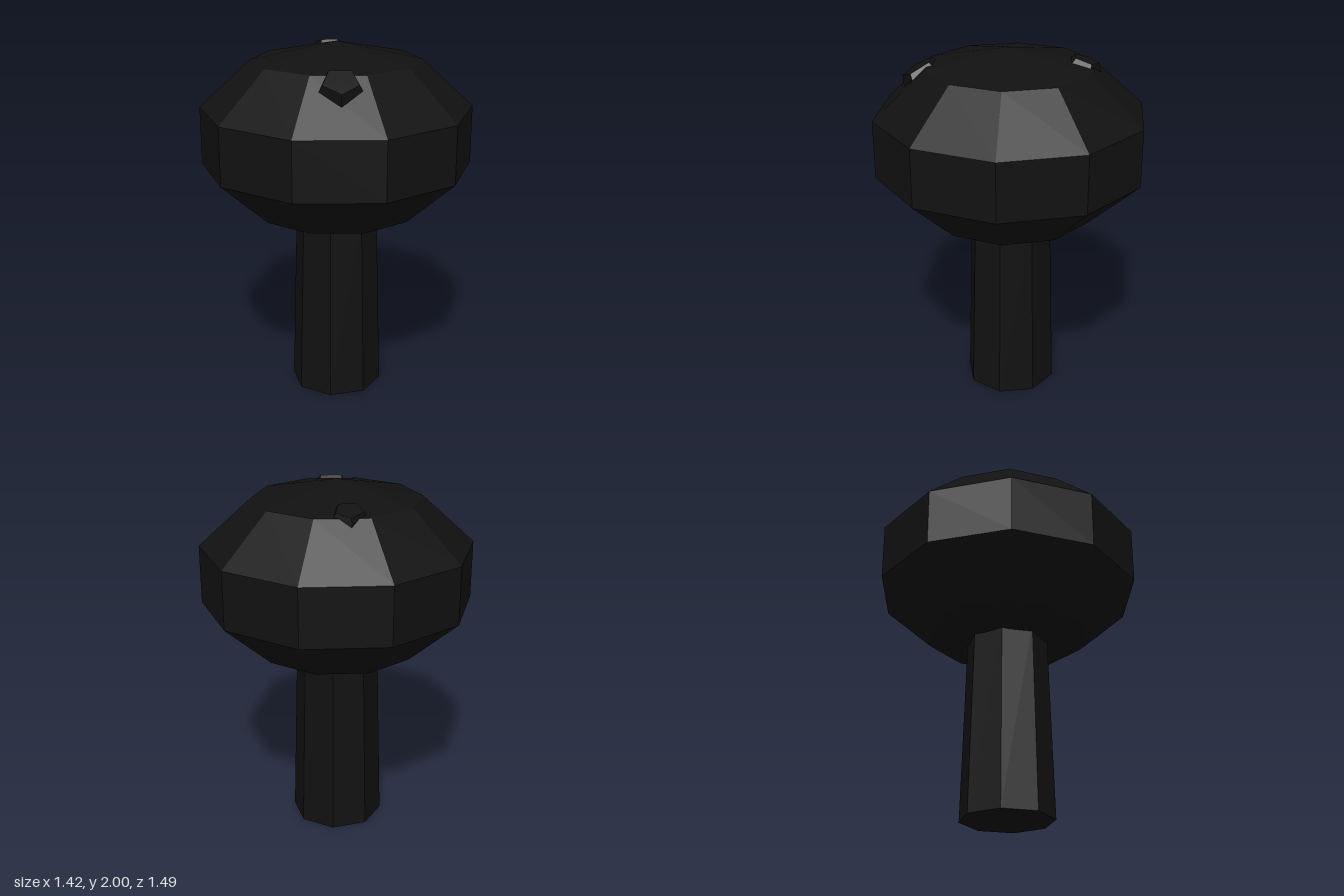
import * as THREE from 'three';

const dark = new THREE.MeshStandardMaterial({ color: 0x111111, flatShading: true });

function part(name, geometry) {
  const mesh = new THREE.Mesh(geometry, dark);
  mesh.name = name;
  return mesh;
}

// Five-sided chip lying on the cap, tilted outward along its slope
function spot(name, x, y, z, radius, thickness, tilt) {
  const mesh = part(name, new THREE.CylinderGeometry(radius * 0.72, radius, thickness, 5));
  mesh.rotation.order = 'YXZ';
  mesh.rotation.set(tilt, Math.atan2(x, z), 0);
  mesh.position.set(x, y, z);
  return mesh;
}

export function createModel() {
  const model = new THREE.Group();
  model.name = 'mushroom';

  // Eight-sided tapering stem, its top sunk into the cap
  const stem = part('stem', new THREE.CylinderGeometry(0.227, 0.258, 1.06, 8));
  stem.position.y = 0.53;
  model.add(stem);

  // Squashed ten-sided cap
  const cap = part('cap', new THREE.SphereGeometry(0.783, 10, 5).rotateY(Math.PI / 2).scale(1, 0.658, 1));
  cap.position.y = 1.485;
  model.add(cap);

  // Raised spots on the cap
  model.add(spot('frontSpot', 0.39, 1.85, 0.27, 0.135, 0.08, 0.52));
  model.add(spot('backSpot', -0.335, 1.905, -0.2, 0.105, 0.06, 0.3));

  return model;
}
